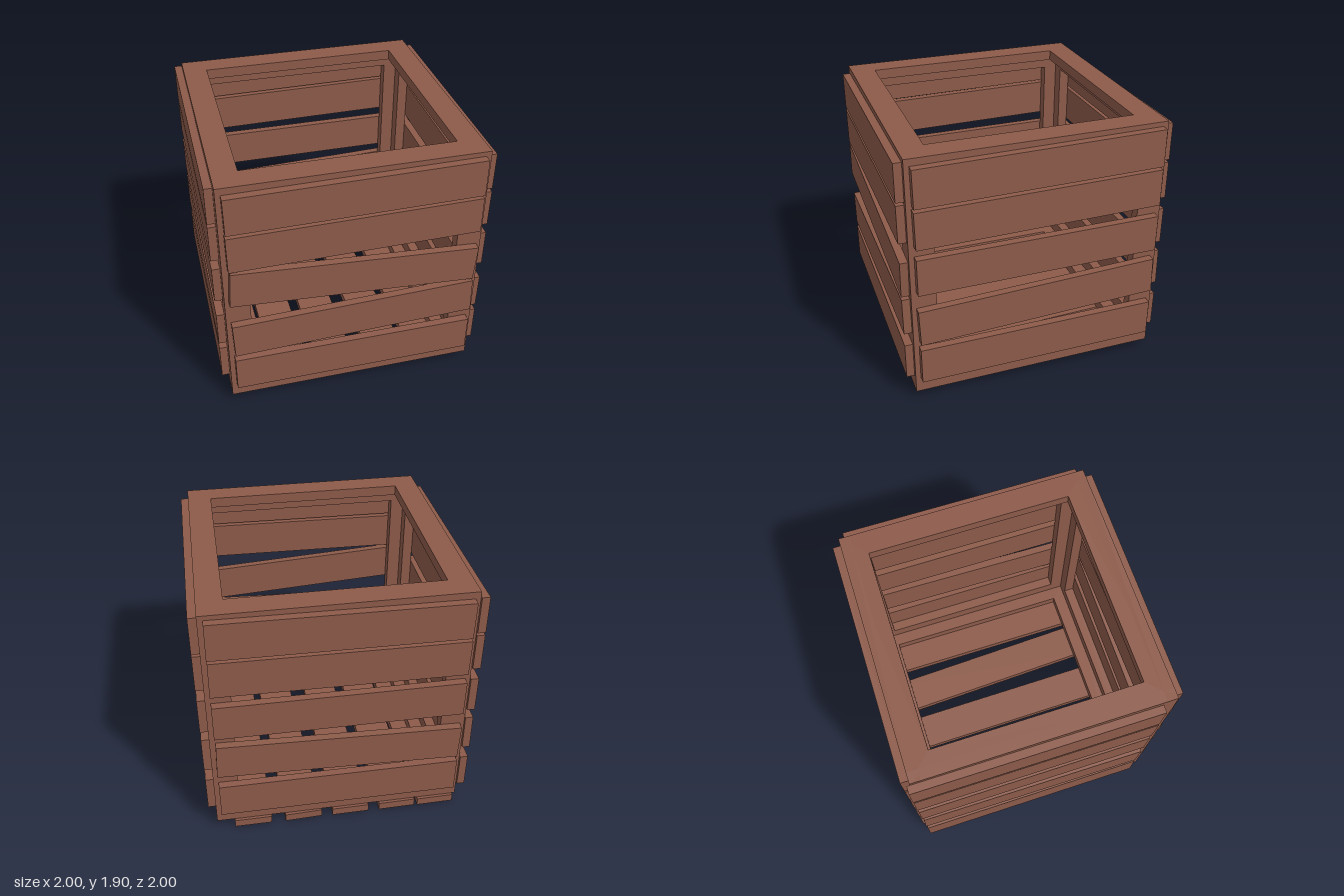
import * as THREE from 'three';

const HALF = 0.92;       // half size of the cubic frame
const BAND = 0.177;      // width of the frame boards
const BOARD = 0.077;     // thickness of the frame boards
const MID = 0.986;       // height of the frame centre
const SLAT = { length: 1.766, height: 0.278, depth: 0.057 };

// Side slats from bottom to top: [centre height, slope]
const SLATS = [[0.325, 0], [0.678, 0.033], [1.062, 0.002], [1.423, 0.011], [1.724, 0.01]];
const LOOSE_SLOPE = -0.0625;

// Floor slats: [x, yaw]
const FLOOR = [[-0.748, 0.011], [-0.446, 0.011], [-0.089, 0.005], [0.298, 0.034], [0.65, 0]];

export function createModel() {
  const wood = new THREE.MeshStandardMaterial({ color: 0x8d5b4a });
  wood.name = 'brownWood';

  const crate = new THREE.Group();
  crate.name = 'crate';

  const add = (parent, name, geometry) => {
    const mesh = new THREE.Mesh(geometry, wood);
    mesh.name = name;
    parent.add(mesh);
    return mesh;
  };

  // Frame: one square ring of boards on each face of a cube
  const square = (shape, r) => shape.moveTo(-r, -r).lineTo(r, -r).lineTo(r, r).lineTo(-r, r).closePath();
  const outline = square(new THREE.Shape(), HALF);
  outline.holes.push(square(new THREE.Path(), HALF - BAND));
  const ring = new THREE.ExtrudeGeometry(outline, { depth: BOARD, bevelEnabled: false });
  ring.translate(0, 0, HALF - BOARD);

  const frame = new THREE.Group();
  frame.name = 'frame';
  frame.position.y = MID;
  const quarter = Math.PI / 2;
  const faces = {
    front: [0, 0], right: [0, -quarter], back: [0, Math.PI], left: [0, quarter],
    top: [-quarter, 0], bottom: [quarter, 0],
  };
  for (const [side, [rx, ry]] of Object.entries(faces)) {
    add(frame, side + 'Frame', ring).rotation.set(rx, ry, 0);
  }
  crate.add(frame);

  // Side slats, sloping the same way on opposite sides
  const out = HALF + SLAT.depth / 2;
  const alongX = new THREE.BoxGeometry(SLAT.length, SLAT.height, SLAT.depth);
  const alongZ = new THREE.BoxGeometry(SLAT.depth, SLAT.height, SLAT.length);
  SLATS.forEach(([y, slope], i) => {
    const front = add(crate, 'frontSlat', alongX);
    front.position.set(0, y, out);
    front.rotation.z = i === 2 ? LOOSE_SLOPE : slope;

    const back = add(crate, 'backSlat', alongX);
    back.position.set(0, y, -out);
    back.rotation.z = slope;

    const left = add(crate, 'leftSlat', alongZ);
    left.position.set(out, y, 0);
    left.rotation.x = slope;

    const right = add(crate, 'rightSlat', alongZ);
    right.position.set(-out, y, -0.06);
    right.rotation.x = slope;
  });

  // Floor slats under the frame
  const floorSlat = new THREE.BoxGeometry(SLAT.height, 0.062, SLAT.length);
  for (const [x, yaw] of FLOOR) {
    const slat = add(crate, 'floorSlat', floorSlat);
    slat.position.set(x, 0.035, -0.058);
    slat.rotation.y = yaw;
  }

  // The whole crate stands slightly askew
  crate.rotation.y = -0.0275;

  const model = new THREE.Group();
  model.name = 'slattedCrate';
  model.add(crate);
  return model;
}
